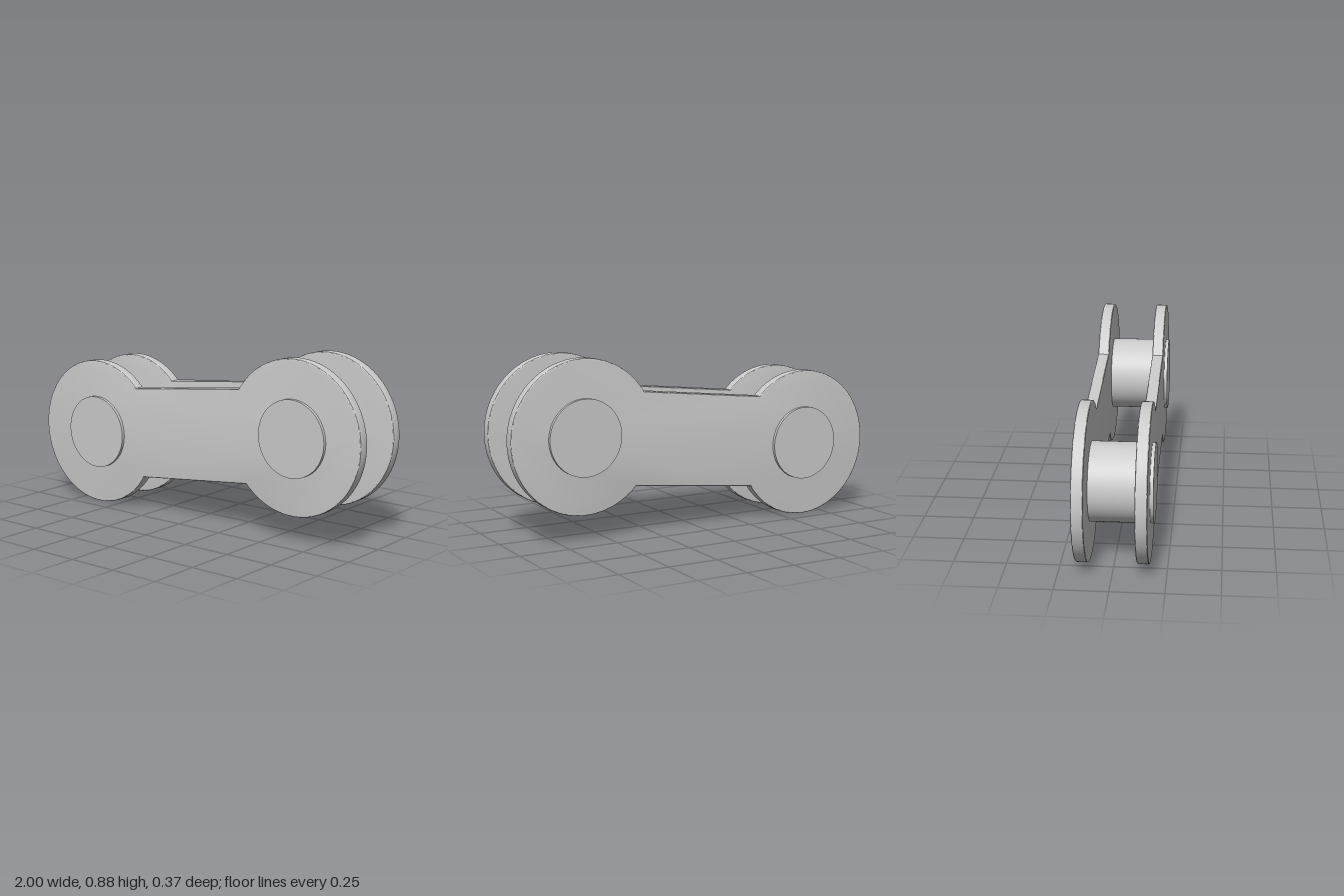
import * as THREE from 'three';
import { toCreasedNormals } from 'three/addons/utils/BufferGeometryUtils.js';

const HALF_SPAN = 0.628;   // pivot distance from the middle, along the link
const LOBE = 0.375;        // radius of the round plate ends
const HALF_BAR = 0.231;    // half height of the straight waist
const PIN = 0.187;
const PIN_LENGTH = 0.37;
const THICK = 0.056;
const PLATE_Z = 0.141;
const BEVEL = 0.006;

// Dumbbell outline: two round ends joined by a straight waist
function plateGeometry() {
  const a = Math.asin(HALF_BAR / LOBE);
  const shape = new THREE.Shape();
  shape.absarc(HALF_SPAN, 0, LOBE, -Math.PI + a, Math.PI - a, false);
  shape.absarc(-HALF_SPAN, 0, LOBE, a, 2 * Math.PI - a, false);
  shape.closePath();
  const geometry = new THREE.ExtrudeGeometry(shape, {
    depth: THICK - 2 * BEVEL,
    curveSegments: 64,
    bevelThickness: BEVEL,
    bevelSize: BEVEL,
    bevelOffset: -BEVEL,
    bevelSegments: 3,
  });
  geometry.translate(0, 0, BEVEL - THICK / 2);
  return toCreasedNormals(geometry, 0.35);
}

export function createModel() {
  const model = new THREE.Group();
  model.name = 'chainLink';
  const material = new THREE.MeshStandardMaterial({ color: 0xcccccc });

  // The whole link is tilted slightly, its left end higher
  const link = new THREE.Group();
  link.name = 'tiltedLink';
  link.position.y = 0.44;
  link.rotation.z = Math.asin(0.065 / HALF_SPAN);
  model.add(link);

  const add = (name, geometry, x, z) => {
    const mesh = new THREE.Mesh(geometry, material);
    mesh.name = name;
    mesh.position.set(x, 0, z);
    link.add(mesh);
  };

  // Front and back side plates
  const plate = plateGeometry();
  add('frontPlate', plate, 0, PLATE_Z);
  add('backPlate', plate, 0, -PLATE_Z);

  // Pins running through both plates
  const pin = new THREE.CylinderGeometry(PIN, PIN, PIN_LENGTH, 96).rotateX(Math.PI / 2);
  add('leftPin', pin, HALF_SPAN, 0);
  add('rightPin', pin, -HALF_SPAN, 0);

  return model;
}
